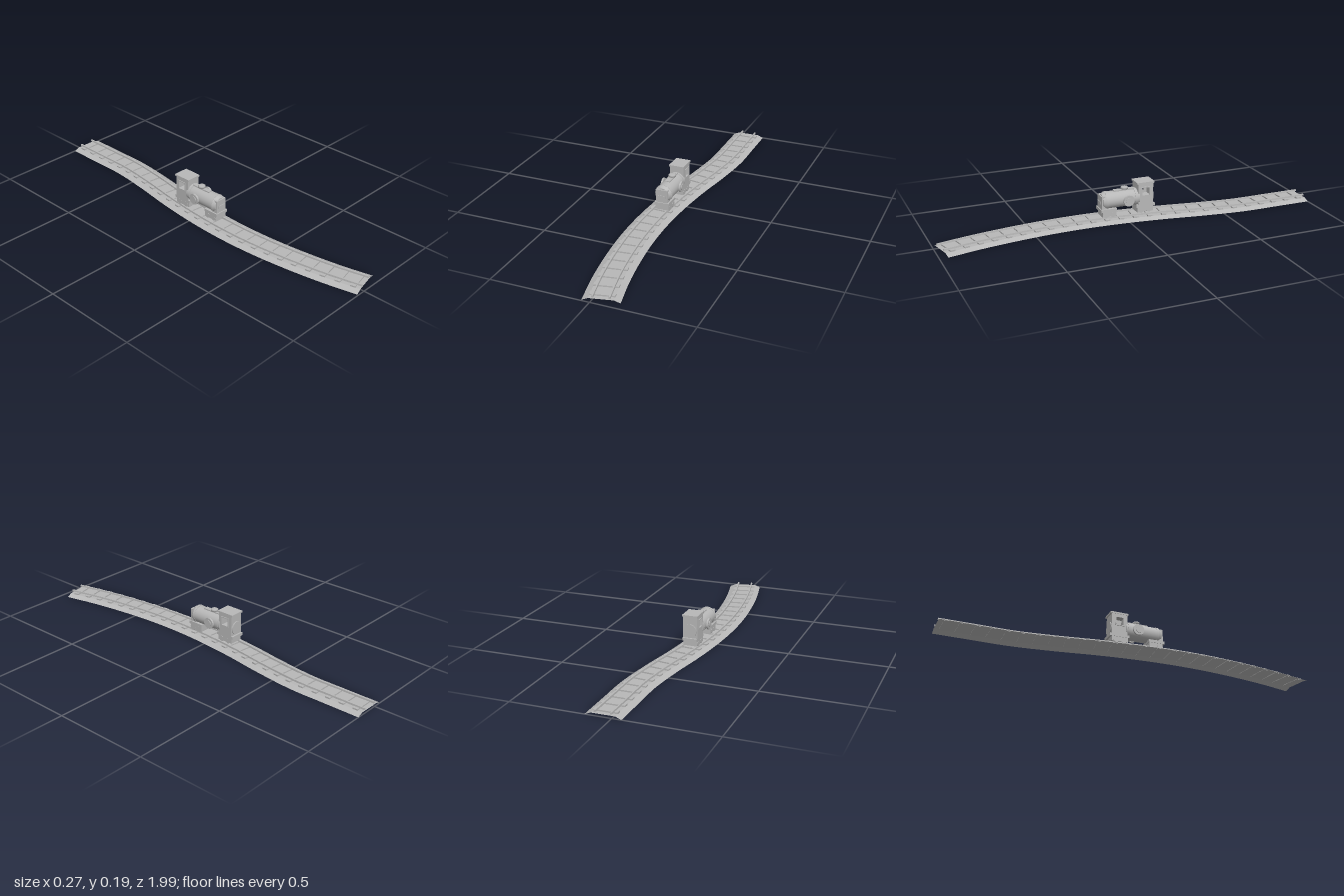
import * as THREE from 'three';

const grey = new THREE.MeshStandardMaterial({ color: 0xb8b8b8 });
grey.name = 'plain grey';
const greySheet = grey.clone();
greySheet.side = THREE.DoubleSide;

// Track centre line, from the back to the front
const path = new THREE.CatmullRomCurve3([
  [0.042, -1], [0.042, -0.8], [0.041, -0.62], [0.016, -0.4], [-0.016, -0.2], [-0.039, 0],
  [-0.05, 0.2], [-0.046, 0.4], [-0.027, 0.6], [0.004, 0.8], [0.043, 0.976],
].map(([x, z]) => new THREE.Vector3(x, 0, z)));

function add(group, name, geometry, x = 0, y = 0, z = 0, material = grey) {
  const mesh = new THREE.Mesh(geometry, material);
  mesh.name = name;
  mesh.position.set(x, y, z);
  group.add(mesh);
  return mesh;
}

// Box given by its limits
function block(group, name, x0, x1, y0, y1, z0, z1) {
  return add(group, name, new THREE.BoxGeometry(x1 - x0, y1 - y0, z1 - z0),
    (x0 + x1) / 2, (y0 + y1) / 2, (z0 + z1) / 2);
}

// Cylinder lying along x or z
function drum(group, name, axis, r0, r1, length, x, y, z) {
  const g = new THREE.CylinderGeometry(r1, r0, length, 32);
  if (axis === 'z') g.rotateX(Math.PI / 2);
  else g.rotateZ(-Math.PI / 2);
  return add(group, name, g, x, y, z);
}

// Sweeps a cross-section of [offset, height] along the track
function sweep(profile, closed, steps = 64) {
  const pos = [], index = [], n = profile.length;
  for (let i = 0; i <= steps; i++) {
    const p = path.getPointAt(i / steps), t = path.getTangentAt(i / steps);
    for (const [o, y] of profile) pos.push(p.x + t.z * o, y, p.z - t.x * o);
  }
  for (let i = 0; i < steps; i++) {
    for (let j = 0; j < (closed ? n : n - 1); j++) {
      const a = i * n + j, b = i * n + (j + 1) % n;
      index.push(a, b, b + n, a, b + n, a + n);
    }
  }
  if (closed) {
    const e = steps * n;
    for (let j = 1; j < n - 1; j++) index.push(0, j + 1, j, e, e + j, e + j + 1);
  }
  const g = new THREE.BufferGeometry();
  g.setAttribute('position', new THREE.Float32BufferAttribute(pos, 3));
  g.setIndex(index);
  const flat = g.toNonIndexed();
  flat.computeVertexNormals();
  return flat;
}

function createTrack() {
  const track = new THREE.Group();
  track.name = 'track';
  // Hollow gravel bed
  add(track, 'gravelBed', sweep([[0.0875, 0], [0.058, 0.012], [-0.058, 0.012], [-0.0875, 0]], false),
    0, 0, 0, greySheet);
  // Rails with a foot and a head
  for (const s of [-0.0385, 0.0385]) {
    add(track, 'rail', sweep([[s - 0.0045, 0.018], [s + 0.0045, 0.018], [s + 0.0035, 0.027], [s - 0.0035, 0.027]], true));
  }
  // Sleepers
  const count = 26;
  const sleeper = new THREE.BoxGeometry(0.118, 0.009, 0.026);
  for (let i = 0; i < count; i++) {
    const u = (i + 0.5) / count, p = path.getPointAt(u), t = path.getTangentAt(u);
    add(track, 'sleeper', sleeper, p.x, 0.0145, p.z).rotation.y = Math.atan2(t.x, t.z);
  }
  return track;
}

function createLocomotive() {
  const loco = new THREE.Group();
  loco.name = 'locomotive';
  loco.position.x = -0.032;

  // Boiler with bands and chamfered front
  drum(loco, 'boiler', 'z', 0.044, 0.044, 0.18, 0, 0.11, 0.02);
  drum(loco, 'boilerNose', 'z', 0.045, 0.036, 0.018, 0, 0.11, 0.119);
  for (const z of [0.104, -0.052]) drum(loco, 'boilerBand', 'z', 0.046, 0.046, 0.012, 0, 0.11, z);
  block(loco, 'topRidge', -0.012, 0.012, 0.15, 0.158, -0.05, 0.06);

  // Flat front with a number plate, and the bumper below
  block(loco, 'frontPlate', -0.031, 0.031, 0.07, 0.14, 0.1, 0.135);
  block(loco, 'namePlate', -0.02, 0.02, 0.097, 0.11, 0.135, 0.138);
  block(loco, 'bumper', -0.038, 0.038, 0.057, 0.072, 0.055, 0.14);
  block(loco, 'frontTruck', -0.036, 0.036, 0.031, 0.057, 0.058, 0.132);

  // Steam dome
  const dome = [[0, 0.15], [0.012, 0.15], [0.012, 0.158], [0.019, 0.159], [0.019, 0.168], [0.014, 0.171], [0, 0.171]];
  add(loco, 'dome', new THREE.LatheGeometry(dome.map(([x, y]) => new THREE.Vector2(x, y)), 24), 0, 0, 0.0);

  // Round side discs
  for (const s of [-1, 1]) {
    drum(loco, 'sideDiscMount', 'x', 0.018, 0.018, 0.02, s * 0.04, 0.107, -0.006);
    drum(loco, 'sideDisc', 'x', 0.029, 0.029, 0.009, s * 0.0495, 0.107, -0.006);
    drum(loco, 'sideDiscHub', 'x', 0.017, 0.017, 0.006, s * 0.0545, 0.107, -0.006);
  }

  // Cab: side walls with window openings, end walls and roof
  const wall = new THREE.Shape([[0.062, 0.06], [0.145, 0.06], [0.145, 0.183], [0.062, 0.183]]
    .map(([z, y]) => new THREE.Vector2(z, y)));
  wall.holes.push(new THREE.Path([[0.084, 0.122], [0.084, 0.162], [0.123, 0.162], [0.123, 0.122]]
    .map(([z, y]) => new THREE.Vector2(z, y))));
  const side = new THREE.ExtrudeGeometry(wall, { depth: 0.006, bevelEnabled: false });
  side.rotateY(Math.PI / 2);
  const frame = new THREE.Shape([[0.079, 0.117], [0.128, 0.117], [0.128, 0.167], [0.079, 0.167]]
    .map(([z, y]) => new THREE.Vector2(z, y)));
  frame.holes.push(wall.holes[0]);
  const trim = new THREE.ExtrudeGeometry(frame, { depth: 0.004, bevelEnabled: false });
  trim.rotateY(Math.PI / 2);
  for (const x of [-0.038, 0.032]) add(loco, 'cabSide', side, x);
  for (const x of [-0.042, 0.038]) add(loco, 'windowFrame', trim, x);
  block(loco, 'cabFrontWall', -0.033, 0.033, 0.06, 0.183, -0.068, -0.062);
  block(loco, 'cabBackWall', -0.033, 0.033, 0.06, 0.183, -0.145, -0.139);
  block(loco, 'cabFloor', -0.033, 0.033, 0.06, 0.11, -0.139, -0.068);
  block(loco, 'roof', -0.04, 0.04, 0.182, 0.191, -0.152, -0.056);
  drum(loco, 'backDisc', 'z', 0.034, 0.034, 0.006, 0, 0.11, -0.147);

  // Rear truck and step
  block(loco, 'rearTruck', -0.036, 0.036, 0.031, 0.06, -0.145, -0.058);
  block(loco, 'rearBumper', -0.038, 0.038, 0.057, 0.072, -0.155, -0.052);

  // Small wheels on the rails
  for (const x of [-0.033, 0.033]) {
    for (const z of [0.115, 0.075, -0.08, -0.122]) drum(loco, 'wheel', 'x', 0.014, 0.014, 0.008, x, 0.041, z);
  }
  return loco;
}

export function createModel() {
  const model = new THREE.Group();
  model.name = 'trainOnTrack';
  model.add(createTrack(), createLocomotive());
  return model;
}
